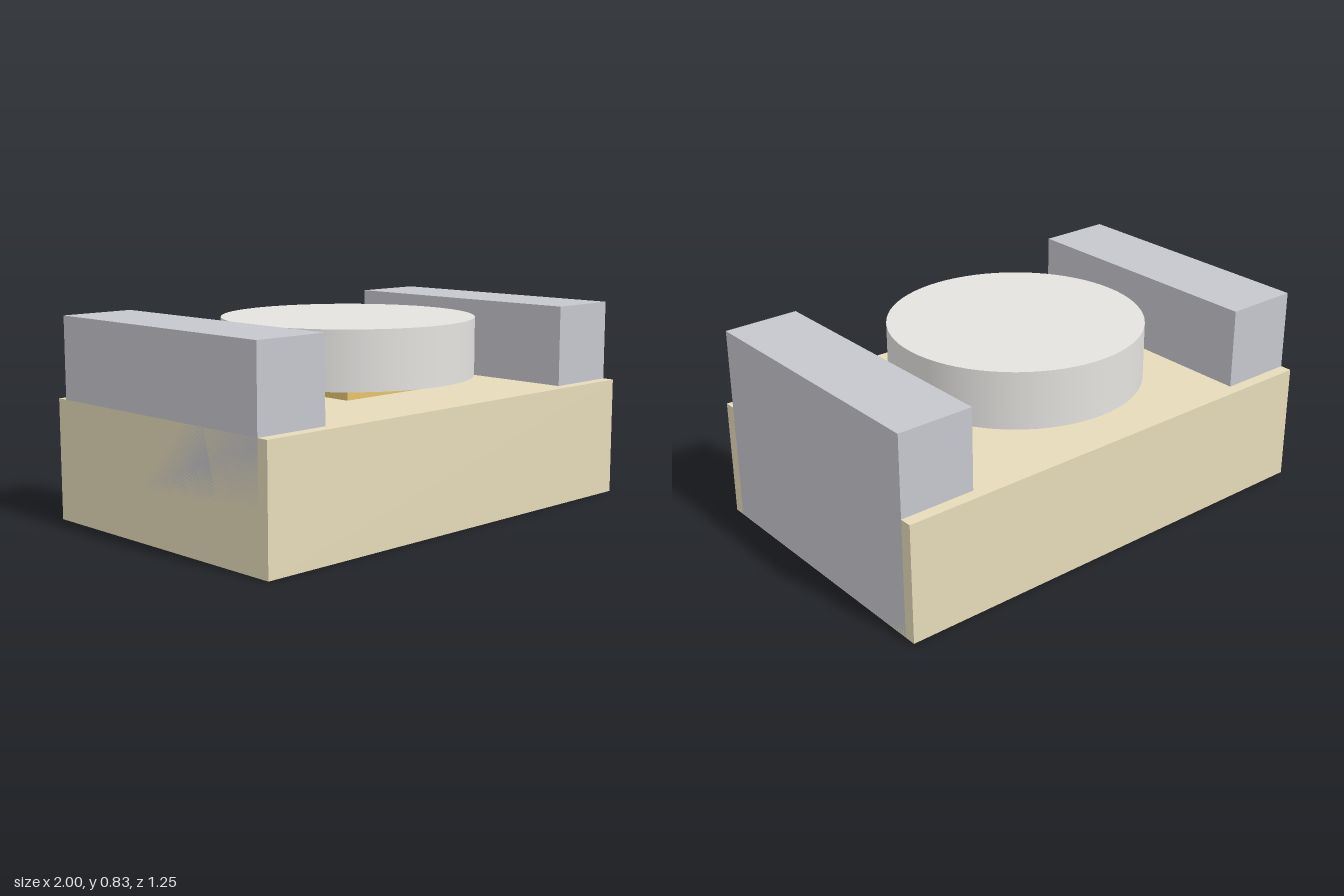
import * as THREE from 'three';

const material = (name, color) => {
  const m = new THREE.MeshStandardMaterial({ color });
  m.name = name;
  return m;
};

export function createModel() {
  const tan = material('tan', 0xe6dbba);
  const grey = material('steel grey', 0xc6c7ce);
  const silver = material('light silver', 0xe5e3e0);
  const gold = material('gold', 0xe6c46c);

  const model = new THREE.Group();
  model.name = 'plateAssembly';

  const add = (name, geometry, mat, x, y0, y1) => {
    const mesh = new THREE.Mesh(geometry, mat);
    mesh.name = name;
    mesh.position.set(x, (y0 + y1) / 2, 0);
    model.add(mesh);
  };
  const addBox = (name, mat, x, y0, y1, width, depth) =>
    add(name, new THREE.BoxGeometry(width, y1 - y0, depth), mat, x, y0, y1);

  // Solid base block
  addBox('base', tan, 0, 0, 0.495, 2, 1.25);

  // Side walls run the full height, flush with the base sides
  for (const [name, side] of [['leftWall', 1], ['rightWall', -1]]) {
    addBox(name, grey, side * 0.84, 0.003, 0.83, 0.32, 1.15);
  }

  // Small spacer carrying the round disc
  addBox('spacer', gold, 0, 0.49, 0.56, 0.45, 0.45);
  add('disc', new THREE.CylinderGeometry(0.523, 0.523, 0.24, 72), silver, 0, 0.56, 0.8);

  return model;
}
